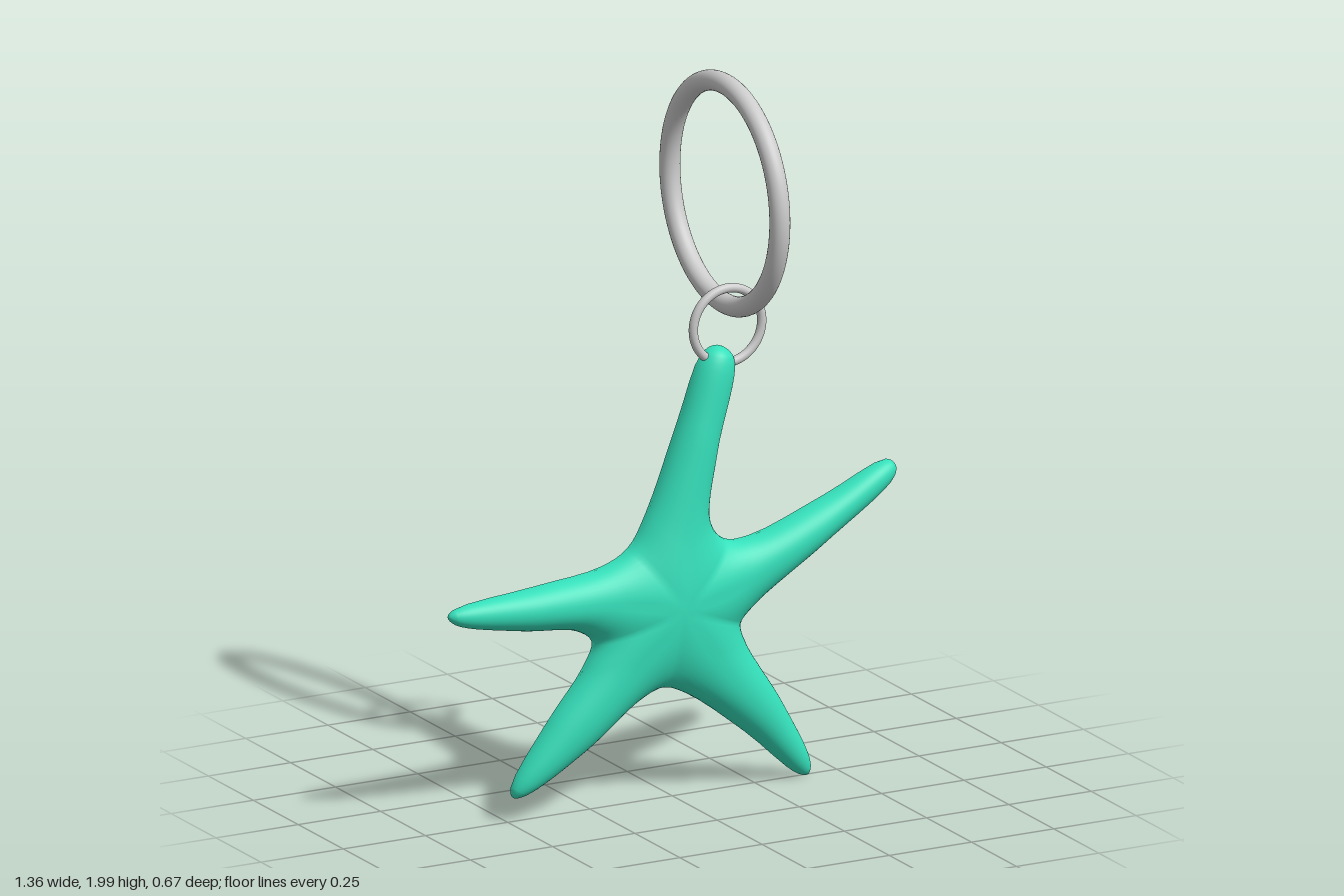
import * as THREE from 'three';
import { mergeVertices } from 'three/addons/utils/BufferGeometryUtils.js';

const CENTER = new THREE.Vector2(-0.01, 0.55);
const ARMS = 5, RIBS = 32, ACROSS = 24;
const DOME_HEIGHT = 0.106, BASE_Z = 0.003;

// Outline, counter-clockwise. Each row is one arm: valley, three points out, tip, three points back.
const OUTLINE = [
  [0.155, 0.705, 0.105, 0.77, 0.125, 0.95, 0.18, 1.21, 0.137, 1.247, 0.09, 1.23, 0.015, 1.05, -0.08, 0.81],
  [-0.135, 0.72, -0.215, 0.68, -0.415, 0.655, -0.665, 0.625, -0.682, 0.607, -0.66, 0.583, -0.47, 0.54, -0.3, 0.515],
  [-0.245, 0.475, -0.27, 0.41, -0.38, 0.27, -0.49, 0.105, -0.485, 0.075, -0.45, 0.078, -0.27, 0.18, -0.11, 0.295],
  [-0.035, 0.318, 0.04, 0.29, 0.22, 0.155, 0.38, 0.015, 0.41, 0.01, 0.415, 0.045, 0.325, 0.23, 0.215, 0.41],
  [0.2, 0.465, 0.235, 0.51, 0.43, 0.64, 0.665, 0.8, 0.675, 0.835, 0.65, 0.853, 0.46, 0.78, 0.235, 0.702],
];

function outlineCurve() {
  const points = [];
  for (const row of OUTLINE) {
    for (let i = 0; i < row.length; i += 2) points.push(new THREE.Vector3(row[i], row[i + 1], 0));
  }
  return new THREE.CatmullRomCurve3(points, true, 'centripetal');
}

// Relax heights near the middle so the five arms flow into each other
function smoothMiddle(geometry, passes) {
  const pos = geometry.attributes.position, index = geometry.index.array;
  const near = Array.from({ length: pos.count }, () => new Set());
  for (let i = 0; i < index.length; i += 3) {
    for (let k = 0; k < 3; k++) {
      const a = index[i + k], b = index[i + (k + 1) % 3];
      near[a].add(b);
      near[b].add(a);
    }
  }
  for (let p = 0; p < passes; p++) {
    const heights = near.map((set, i) => {
      const z = pos.getZ(i);
      if (z < 1e-4 || set.size === 0) return z;
      const r = Math.hypot(pos.getX(i) - CENTER.x, pos.getY(i) - CENTER.y);
      const amount = 0.8 * (1 - THREE.MathUtils.smoothstep(r, 0.2, 0.38));
      let sum = 0;
      for (const n of set) sum += pos.getZ(n);
      return THREE.MathUtils.lerp(z, sum / set.size, amount);
    });
    heights.forEach((z, i) => pos.setZ(i, z));
  }
}

// Domed front: ribs cross each arm from the tip down to the two valleys, bending in to the centre
function domeGeometry(curve) {
  const positions = [], indices = [];
  for (let arm = 0; arm < ARMS; arm++) {
    const start = positions.length / 3;
    for (let i = 0; i <= RIBS; i++) {
      const u = i / RIBS;
      const a = curve.getPoint(((arm + 0.5 - 0.5 * u) / ARMS) % 1);
      const b = curve.getPoint(((arm + 0.5 + 0.5 * u) / ARMS) % 1);
      const bend = Math.max(0, 2 * u - 1) ** 2;
      const mx = (a.x + b.x) / 2, my = (a.y + b.y) / 2;
      const armHeight = Math.tanh(10 * a.distanceTo(b) / 2);
      const height = DOME_HEIGHT * THREE.MathUtils.lerp(armHeight, 1, bend);
      for (let j = 0; j <= ACROSS; j++) {
        const angle = Math.PI * j / ACROSS;
        const v = -Math.cos(angle), pull = bend * (1 - Math.abs(v));
        positions.push(
          mx + (b.x - a.x) / 2 * v + (CENTER.x - mx) * pull,
          my + (b.y - a.y) / 2 * v + (CENTER.y - my) * pull,
          height * Math.sin(angle));
        if (i < RIBS && j < ACROSS) {
          const p = start + i * (ACROSS + 1) + j, q = p + ACROSS + 1;
          indices.push(p, p + 1, q + 1, p, q + 1, q);
        }
      }
    }
  }
  let geometry = new THREE.BufferGeometry();
  geometry.setAttribute('position', new THREE.Float32BufferAttribute(positions, 3));
  geometry.setIndex(indices);
  geometry = mergeVertices(geometry, 1e-4);
  smoothMiddle(geometry, 14);
  geometry.translate(0, 0, BASE_Z);
  geometry.computeVertexNormals();
  return geometry;
}

// Thin flat back with a softened rim
function backGeometry(curve) {
  const shape = new THREE.Shape();
  const count = ARMS * 32;
  for (let i = 0; i < count; i++) {
    const p = curve.getPoint(i / count);
    if (i === 0) shape.moveTo(p.x, p.y);
    else shape.lineTo(p.x, p.y);
  }
  shape.closePath();
  return new THREE.ExtrudeGeometry(shape, {
    depth: 0.004, bevelEnabled: true, bevelThickness: 0.005,
    bevelSize: 0.005, bevelOffset: -0.005, bevelSegments: 3,
  });
}

function addMesh(parent, name, geometry, material) {
  const mesh = new THREE.Mesh(geometry, material);
  mesh.name = name;
  parent.add(mesh);
  return mesh;
}

export function createModel() {
  const model = new THREE.Group();
  model.name = 'starfishKeyring';
  const teal = new THREE.MeshStandardMaterial({ color: 0x35e0bb });
  const metal = new THREE.MeshStandardMaterial({ color: 0xcccccc });

  // Starfish charm
  const starfish = new THREE.Group();
  starfish.name = 'starfish';
  const curve = outlineCurve();
  addMesh(starfish, 'starfishFront', domeGeometry(curve), teal);
  addMesh(starfish, 'starfishBack', backGeometry(curve), teal);
  model.add(starfish);

  // Small link through the top arm
  const link = addMesh(model, 'linkRing', new THREE.TorusGeometry(0.104, 0.0125, 20, 72), metal);
  link.position.set(0.16, 1.302, 0.015);

  // Large key ring, turned at right angles to the link
  const ring = addMesh(model, 'keyRing', new THREE.TorusGeometry(0.306, 0.028, 24, 96), metal);
  ring.rotation.y = Math.PI / 2;
  ring.position.set(0.16, 1.666, 0);

  return model;
}
